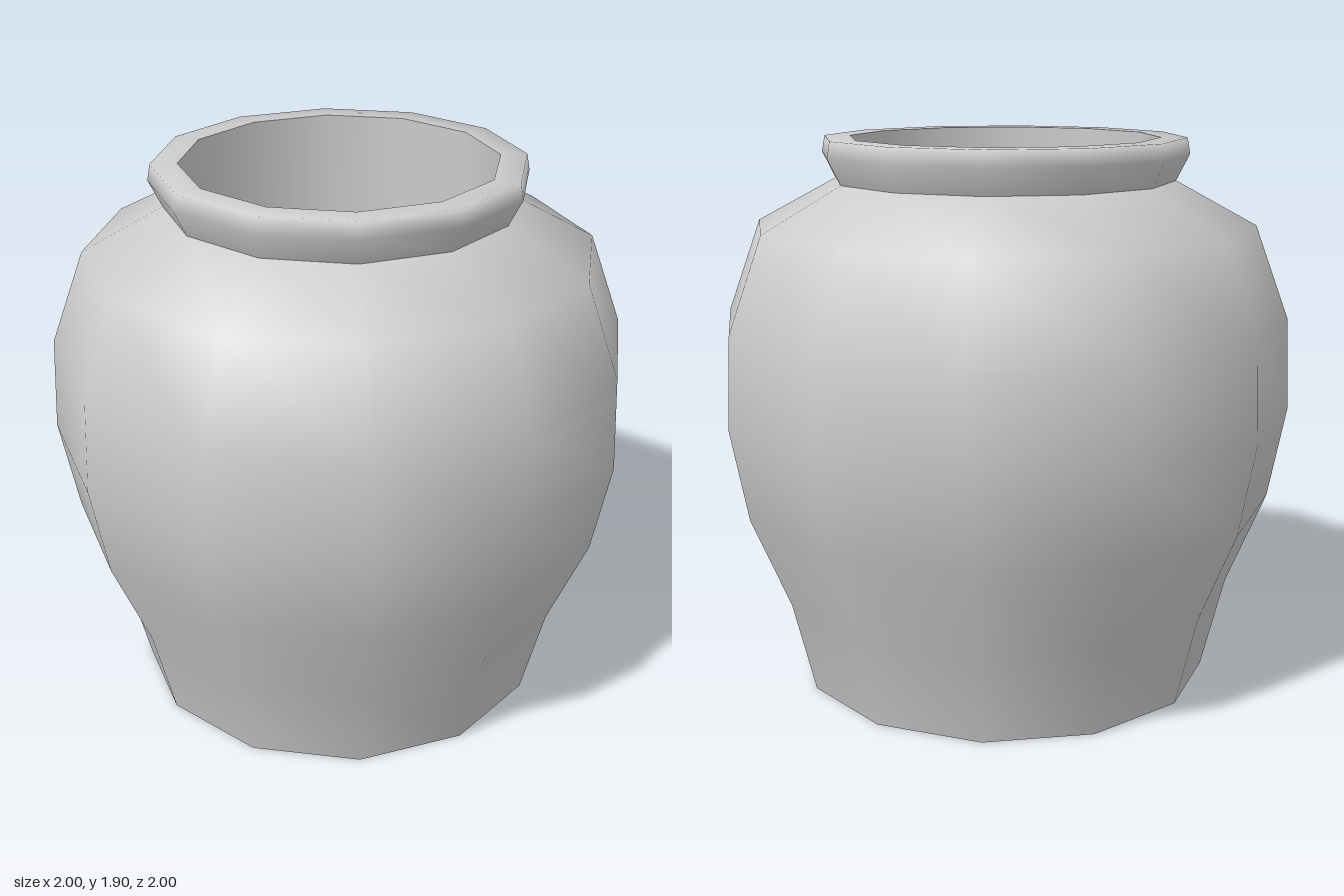
import * as THREE from 'three';

const SIDES = 12;
const material = new THREE.MeshStandardMaterial({ color: 0xcccccc });

// Turns a [radius, height] profile; smooth within a part, sharp between parts
function turned(name, profile) {
  const points = profile.map(([r, y]) => new THREE.Vector2(r, y));
  const mesh = new THREE.Mesh(new THREE.LatheGeometry(points, SIDES), material);
  mesh.name = name;
  return mesh;
}

export function createModel() {
  const jar = new THREE.Group();
  jar.name = 'jar';

  // Flat underside
  jar.add(turned('base', [[0, 0], [0.725, 0]]));

  // Bulging body up to the neck
  jar.add(turned('body', [
    [0.725, 0], [0.805, 0.325], [0.94, 0.65], [1, 0.97],
    [0.985, 1.29], [0.867, 1.61], [0.59, 1.76],
  ]));

  // Flared rim, rolled over to the mouth
  jar.add(turned('rim', [[0.59, 1.76], [0.635, 1.85], [0.625, 1.905], [0.535, 1.905]]));

  // Straight hollow and its floor
  jar.add(turned('innerWall', [[0.535, 1.905], [0.535, 0.1]]));
  jar.add(turned('innerFloor', [[0.535, 0.1], [0, 0.1]]));

  return jar;
}
